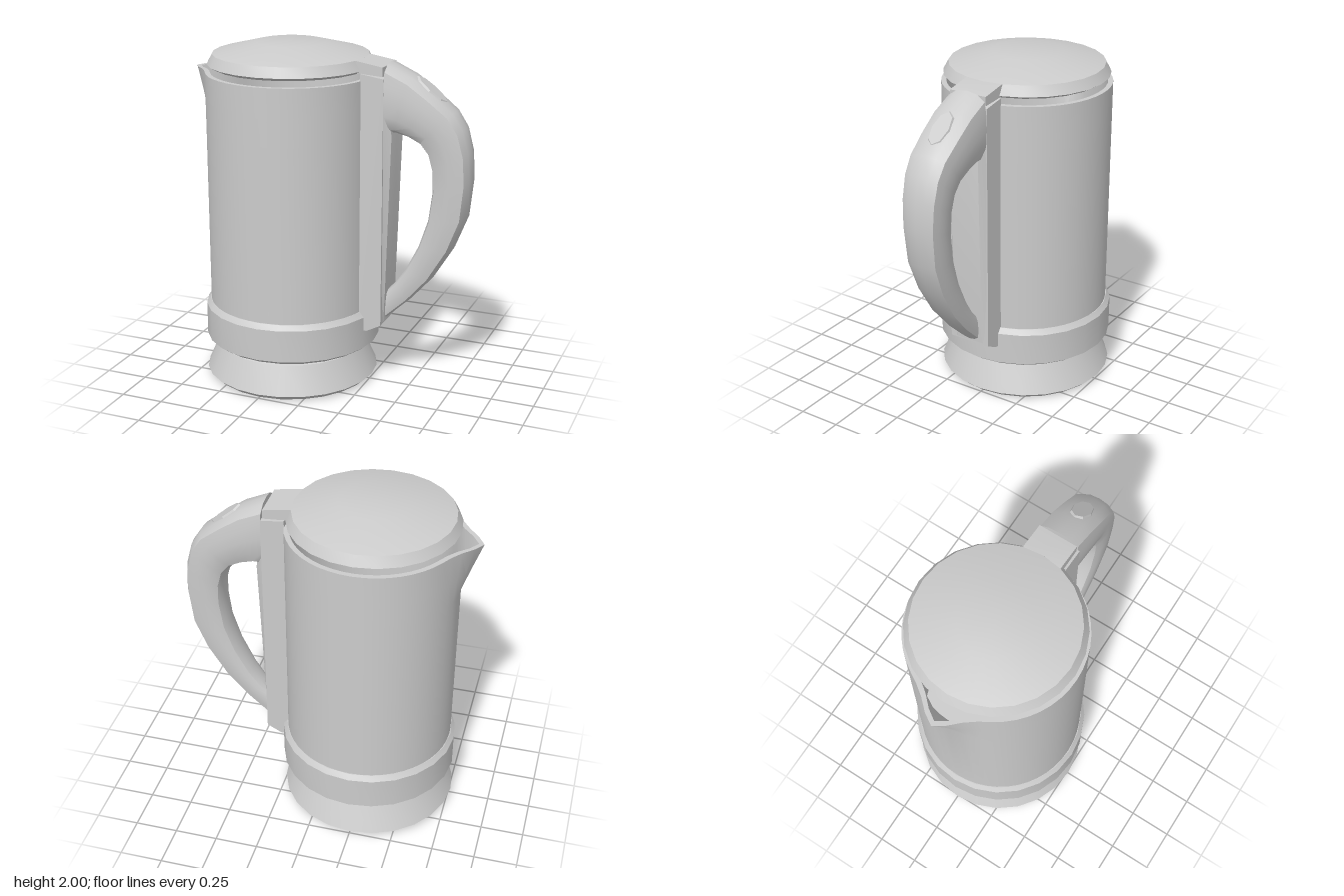
import * as THREE from 'three';
import { toCreasedNormals } from 'three/addons/utils/BufferGeometryUtils.js';

const CX = -0.244; // axis of the round parts

const mat = new THREE.MeshStandardMaterial({ color: 0xcccccc, side: THREE.DoubleSide });

function addMesh(group, name, geometry, crease = 0.5) {
  const mesh = new THREE.Mesh(toCreasedNormals(geometry, crease), mat);
  mesh.name = name;
  group.add(mesh);
  return mesh;
}

// Round part from [radius, height] pairs
function lathe(pairs, sides = 24) {
  return new THREE.LatheGeometry(pairs.map(([r, y]) => new THREE.Vector2(r, y)), sides);
}

// Side outline in x and y, extruded symmetrically across z
function slab(points, halfWidth) {
  const shape = new THREE.Shape(points.map(([x, y]) => new THREE.Vector2(x, y)));
  const geo = new THREE.ExtrudeGeometry(shape, { depth: 2 * halfWidth, bevelEnabled: false });
  return geo.translate(0, 0, -halfWidth);
}

// Sweeps a section of [outward, sideways] points in -1..1
// along stations of [outerX, outerY, innerX, innerY, halfWidth]
function loft(section, stations) {
  const n = section.length, pos = [], index = [];
  for (const [ox, oy, ix, iy, w] of stations) {
    for (const [c, s] of section) {
      pos.push((ox + ix + (ox - ix) * c) / 2, (oy + iy + (oy - iy) * c) / 2, w * s);
    }
  }
  for (let i = 0; i < stations.length - 1; i++) {
    for (let j = 0; j < n; j++) {
      const a = i * n + j, b = i * n + (j + 1) % n;
      index.push(a, b, a + n, b, b + n, a + n);
    }
  }
  const last = (stations.length - 1) * n;
  for (let j = 1; j < n - 1; j++) {
    index.push(0, j + 1, j, last, last + j, last + j + 1);
  }
  const geo = new THREE.BufferGeometry();
  geo.setAttribute('position', new THREE.Float32BufferAttribute(pos, 3));
  geo.setIndex(index);
  return geo;
}

// Hollow body, with the rim drawn out to a pointed spout on the -x side
function bodyGeometry() {
  const geo = lathe([
    [0.489, 0.45], [0.489, 1.5], [0.489, 1.66], [0.489, 1.83],
    [0.46, 1.83], [0.46, 1.66], [0.46, 1.5], [0.46, 0.5], [0, 0.5],
  ], 48);
  const reach = [0.112, 0.076, 0.03, 0.006]; // by steps around from the tip
  const p = geo.attributes.position;
  for (let i = 0; i < p.count; i++) {
    const x = p.getX(i), y = p.getY(i), z = p.getZ(i);
    if (x > 0 || y < 1.51) continue;
    const step = Math.round(Math.abs(Math.atan2(z, -x)) / (Math.PI / 24));
    if (step >= reach.length) continue;
    p.setX(i, x - reach[step] * (y - 1.5) / 0.33);
    if (y > 1.8) p.setY(i, y - reach[step] * 0.09);
  }
  return geo;
}

export function createModel() {
  const kettle = new THREE.Group();
  kettle.name = 'kettle';

  // Round parts stacked on one axis
  const round = new THREE.Group();
  round.name = 'roundParts';
  round.position.x = CX;
  kettle.add(round);

  // Base with a recessed underside
  const base = addMesh(round, 'powerBase', lathe([
    [0, 0.09], [0.472, 0.09], [0.48, 0], [0.514, 0.03], [0.44, 0.195], [0.43, 0.2], [0, 0.2],
  ]));
  base.position.x = -0.007;
  addMesh(round, 'lowerBand', lathe([
    [0, 0.2], [0.1, 0.202], [0.485, 0.227], [0.517, 0.25], [0.517, 0.44], [0.495, 0.47], [0.45, 0.47],
  ]));
  addMesh(round, 'body', bodyGeometry());
  addMesh(round, 'lid', lathe([
    [0, 1.825], [0.2, 1.829], [0.447, 1.862], [0.478, 1.88], [0.447, 1.937], [0.2, 2], [0, 2],
  ]));

  // Tab joining the lid to the handle
  addMesh(kettle, 'lidTab', slab([
    [0.17, 1.872], [0.35, 1.86], [0.35, 1.912], [0.2, 1.937], [0.17, 1.937],
  ], 0.115));

  // Upright that carries the handle
  addMesh(kettle, 'handleMount', slab([
    [0.225, 0.36], [0.275, 0.36], [0.36, 0.405], [0.36, 1.85], [0.225, 1.87],
  ], 0.128));

  // Bevelled strip on the upright, facing the grip
  addMesh(kettle, 'handleBacking', loft(
    [[1, 0], [1, 0.75], [-1, 1], [-1, -1], [1, -0.75]],
    [
      [0.362, 1.84, 0.355, 1.84, 0.127],
      [0.4, 1.53, 0.355, 1.53, 0.127],
      [0.372, 0.6, 0.355, 0.6, 0.12],
      [0.362, 0.415, 0.355, 0.415, 0.11],
    ],
  ));

  // Curved handle with a low crown outside, tapering downwards
  const half = [[0.95, 0.5], [0.78, 0.9], [0.4, 0.98], [0, 1], [-0.45, 0.96], [-0.82, 0.8], [-0.96, 0.45]];
  const mirrored = half.map(([c, s]) => [c, -s]).reverse();
  addMesh(kettle, 'handle', loft([[1, 0], ...half, [-1, 0], ...mirrored], [
    [0.36, 1.93, 0.36, 1.53, 0.128],
    [0.5, 1.865, 0.41, 1.537, 0.13],
    [0.62, 1.778, 0.48, 1.522, 0.128],
    [0.74, 1.682, 0.55, 1.488, 0.122],
    [0.8, 1.59, 0.597, 1.43, 0.117],
    [0.835, 1.46, 0.622, 1.34, 0.112],
    [0.845, 1.3, 0.626, 1.22, 0.106],
    [0.823, 1.08, 0.603, 1.05, 0.1],
    [0.748, 0.89, 0.55, 0.89, 0.092],
    [0.632, 0.7, 0.475, 0.74, 0.083],
    [0.5, 0.55, 0.415, 0.65, 0.074],
    [0.36, 0.42, 0.36, 0.59, 0.065],
  ]), 0.75);

  // Oval button nearly flush with the slope of the handle
  const button = addMesh(kettle, 'button', new THREE.CylinderGeometry(0.052, 0.065, 0.03, 8));
  button.scale.x = 2;
  button.position.set(0.594, 1.783, 0);
  button.rotation.z = -0.67;

  return kettle;
}
